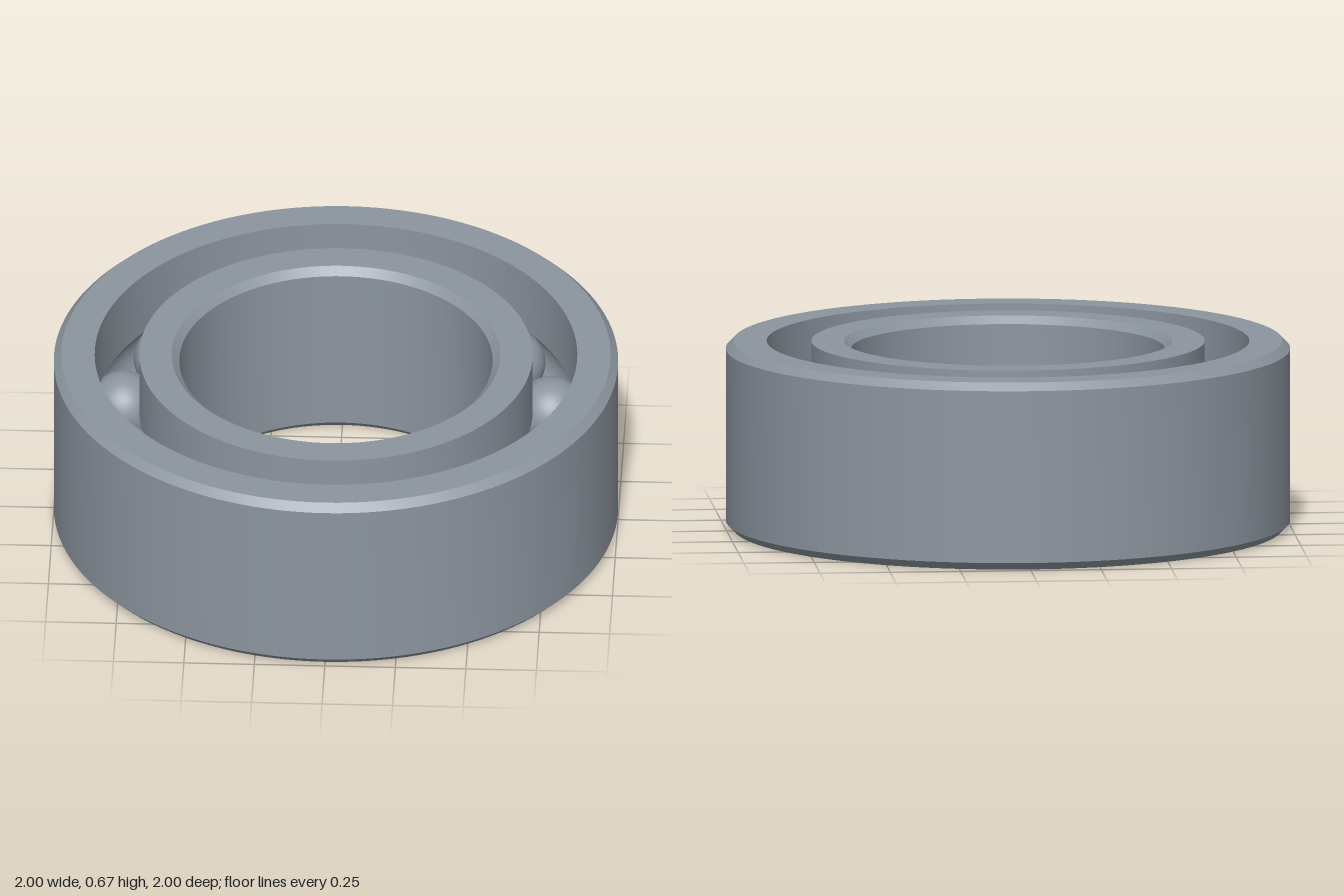
import * as THREE from 'three';
import { toCreasedNormals } from 'three/addons/utils/BufferGeometryUtils.js';

const H = 0.67, MID = H / 2;      // ring height and mid plane
const OUTER = 1, BORE = 0.555;    // outside and bore radii
const OUTER_LAND = 0.855, INNER_LAND = 0.697;
const CHAMFER = 0.027;
const PITCH = 0.776, BALL_R = 0.123, GROOVE_R = 0.125;
const BALLS = 14;

// Circular ball track cut into a land of radius r, from angle -a to a (side = 1 outwards, -1 inwards)
function groove(r, side, upward) {
  const a = Math.acos(Math.abs(r - PITCH) / GROOVE_R);
  const pts = [];
  for (let i = 0; i <= 14; i++) {
    const t = (-a + (2 * a * i) / 14) * (upward ? 1 : -1);
    pts.push([PITCH + side * GROOVE_R * Math.cos(t), MID + GROOVE_R * Math.sin(t)]);
  }
  return pts;
}

// Closed profile turned around the y axis, with sharp edges kept
function turned(profile, material, name) {
  const pts = [...profile, profile[0]].map(([x, y]) => new THREE.Vector2(x, y));
  const mesh = new THREE.Mesh(toCreasedNormals(new THREE.LatheGeometry(pts, 128), 0.4), material);
  mesh.name = name;
  return mesh;
}

export function createModel() {
  const model = new THREE.Group();
  model.name = 'ballBearing';
  const steel = new THREE.MeshStandardMaterial({ color: 0x8c959f });
  steel.name = 'steel';

  // Outer ring: chamfered outside, ball track on the inside
  model.add(turned([
    [OUTER_LAND, 0], [OUTER - CHAMFER, 0], [OUTER, CHAMFER],
    [OUTER, H - CHAMFER], [OUTER - CHAMFER, H], [OUTER_LAND, H],
    ...groove(OUTER_LAND, 1, false),
  ], steel, 'outerRing'));

  // Inner ring: chamfered bore, ball track on the outside
  model.add(turned([
    [BORE + CHAMFER, 0], [INNER_LAND, 0],
    ...groove(INNER_LAND, -1, true),
    [INNER_LAND, H], [BORE + CHAMFER, H], [BORE, H - CHAMFER], [BORE, CHAMFER],
  ], steel, 'innerRing'));

  // Evenly spaced balls between the rings
  const balls = new THREE.Group();
  balls.name = 'balls';
  const ballGeometry = new THREE.SphereGeometry(BALL_R, 40, 24);
  for (let i = 0; i < BALLS; i++) {
    const a = (i / BALLS) * Math.PI * 2 - 0.014;
    const ball = new THREE.Mesh(ballGeometry, steel);
    ball.name = `ball${i + 1}`;
    ball.position.set(Math.sin(a) * PITCH, MID, -Math.cos(a) * PITCH);
    balls.add(ball);
  }
  model.add(balls);
  return model;
}
